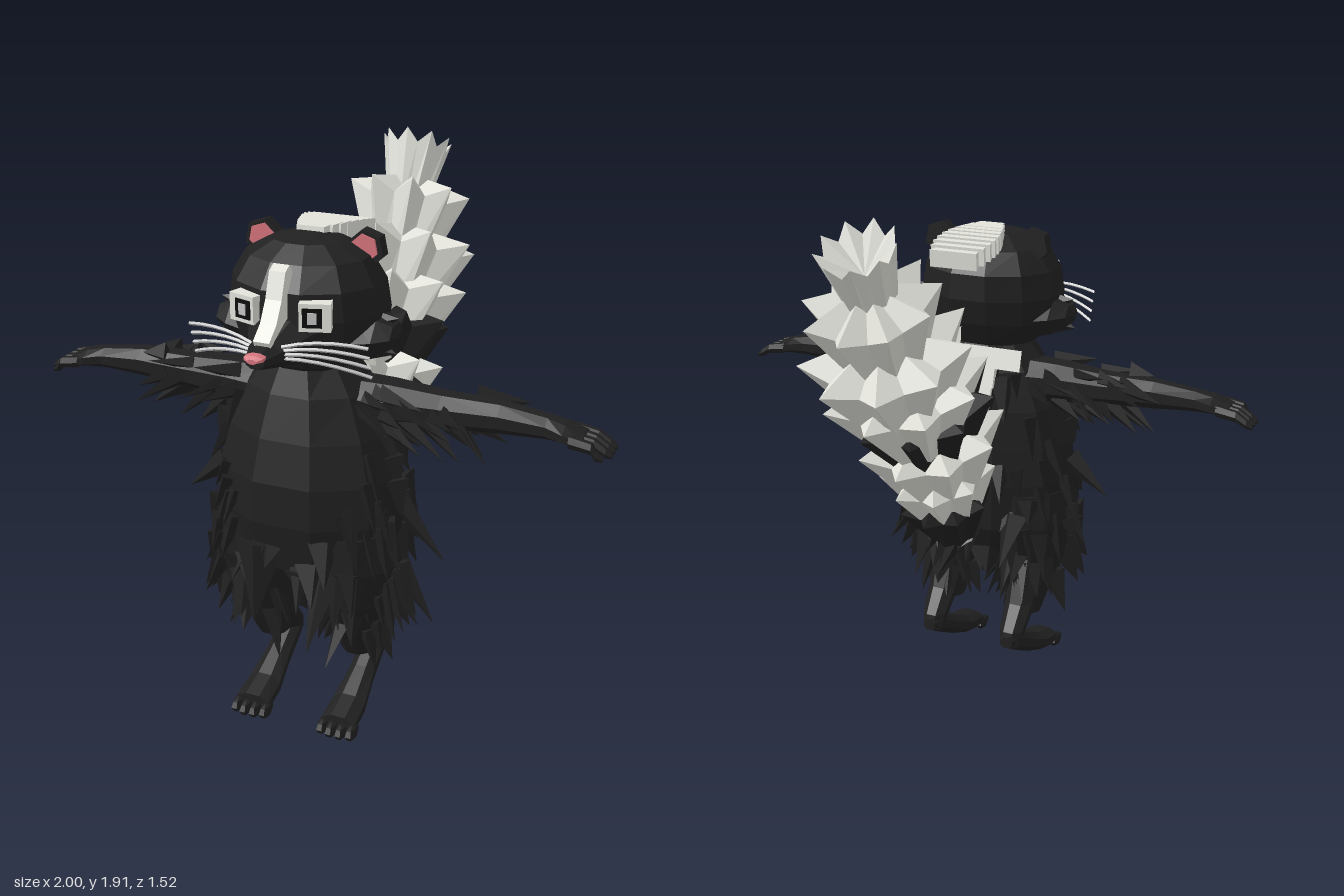
import * as THREE from 'three';
import { mergeGeometries } from 'three/addons/utils/BufferGeometryUtils.js';

const V = (x, y, z) => new THREE.Vector3(x, y, z);
const X = V(1, 0, 0), Y = V(0, 1, 0), Z = V(0, 0, 1);

function seeded(seed) {
  return () => {
    seed = (seed * 1664525 + 1013904223) % 4294967296;
    return seed / 4294967296;
  };
}

function meshOf(pos, idx) {
  const g = new THREE.BufferGeometry();
  g.setAttribute('position', new THREE.Float32BufferAttribute(pos, 3));
  g.setIndex(idx);
  const flat = g.toNonIndexed();
  flat.computeVertexNormals();
  return flat;
}

// closed skin over elliptical rings [x, y, z, radiusU, radiusV]; u x v points along the path
function loft(rings, n, u, v) {
  const pos = [], idx = [];
  const add = p => pos.push(p.x, p.y, p.z);
  for (const [x, y, z, a, b] of rings)
    for (let i = 0; i < n; i++) {
      const t = (i + 0.5) / n * Math.PI * 2;
      add(V(x, y, z).addScaledVector(u, a * Math.cos(t)).addScaledVector(v, b * Math.sin(t)));
    }
  const last = (rings.length - 1) * n, c0 = rings.length * n;
  add(V(...rings[0].slice(0, 3)));
  add(V(...rings[rings.length - 1].slice(0, 3)));
  for (let i = 0; i < n; i++) {
    const j = (i + 1) % n;
    for (let r = 0; r < last; r += n) idx.push(r + i, r + j, r + n + j, r + i, r + n + j, r + n + i);
    idx.push(c0, j, i, c0 + 1, last + i, last + j);
  }
  return meshOf(pos, idx);
}

function spike(p, dir, len, w) {
  const d = dir.clone().normalize();
  return new THREE.ConeGeometry(w, len, 4, 1).scale(1, 1, 0.6)
    .applyQuaternion(new THREE.Quaternion().setFromUnitVectors(Y, d))
    .translate(...p.clone().addScaledVector(d, len * 0.35).toArray());
}

// tufts scattered over a loft, swept along the flow direction
function fur(rings, u, v, flow, count, len, w, seed, keep = () => true) {
  const rnd = seeded(seed), out = [];
  while (out.length < count) {
    const s = rnd() * (rings.length - 1), k = Math.floor(s), f = s - k;
    const [x, y, z, a, b] = rings[k].map((q, i) => q + (rings[k + 1][i] - q) * f);
    const t = rnd() * Math.PI * 2, size = 0.6 + rnd() * 0.9;
    const p = V(x, y, z).addScaledVector(u, a * 0.96 * Math.cos(t)).addScaledVector(v, b * 0.96 * Math.sin(t));
    if (!keep(p)) continue;
    const d = V(0, 0, 0).addScaledVector(u, Math.cos(t)).addScaledVector(v, Math.sin(t));
    d.multiplyScalar(0.2 + rnd() * 0.35).add(flow);
    out.push(spike(p, d, len * size, w * (0.7 + rnd() * 0.6)));
  }
  return mergeGeometries(out);
}

// tail layer: narrow below, star-shaped rim of points above, closed by a cone reaching up to crest
function crown(base, rim, height, points, valley, crest) {
  const pos = [], idx = [], n = points * 2, c = n * 2;
  for (let i = 0; i < n; i++) {
    const t = i / n * Math.PI * 2, r = base * (i % 2 ? 0.85 : 1);
    pos.push(r * Math.sin(t), -height, r * Math.cos(t));
  }
  for (let i = 0; i < n; i++) {
    const t = i / n * Math.PI * 2, r = rim * (i % 2 ? valley : 1);
    pos.push(r * Math.sin(t), i % 2 ? -height * 0.15 : 0, r * Math.cos(t));
  }
  pos.push(0, crest, 0, 0, -height, 0);
  for (let i = 0; i < n; i++) {
    const j = (i + 1) % n;
    idx.push(i, j, n + j, i, n + j, n + i, c, n + i, n + j, c + 1, j, i);
  }
  return meshOf(pos, idx);
}

export function createModel() {
  const mat = (name, color) =>
    new THREE.MeshStandardMaterial({ name, color, flatShading: true, side: THREE.DoubleSide });
  const black = mat('black fur', 0x202020), pale = mat('pale fur', 0xe2e2db);
  const pink = mat('pink skin', 0xd4737c), grey = mat('whisker grey', 0xc4c4c4);
  const dark = mat('pupil black', 0x0c0c0c);
  const model = new THREE.Group();
  const add = (name, geo, m, parent = model) => {
    const mesh = new THREE.Mesh(geo, m);
    mesh.name = name;
    parent.add(mesh);
    return mesh;
  };
  const box = (w, h, d, x, y, z) => new THREE.BoxGeometry(w, h, d).translate(x, y, z);
  // four-sided plate, wider at its front (low z) end
  const plate = (w, h, d, x, y, z, rx) => new THREE.CylinderGeometry(0.6, 0.7071, 1, 4).rotateY(Math.PI / 4)
    .rotateX(Math.PI / 2).scale(w, h, d).rotateX(rx).translate(x, y, z);

  // torso
  const torso = [[0, 0.5, 0.35, 0.14, 0.2], [0, 0.64, 0.35, 0.22, 0.31], [0, 0.82, 0.36, 0.25, 0.335],
    [0, 0.96, 0.36, 0.24, 0.325], [0, 1.1, 0.35, 0.215, 0.285], [0, 1.24, 0.34, 0.18, 0.22], [0, 1.36, 0.34, 0.13, 0.13]];
  add('torso', loft(torso, 10, Z, X), black);
  add('torsoFur', fur(torso.slice(0, 6), Z, X, V(0, -0.8, 0), 110, 0.13, 0.05, 7,
    p => !(p.y > 0.84 && p.z > 0.45 && Math.abs(p.x) < 0.19)), black);
  add('longTufts', mergeGeometries([
    spike(V(0.32, 0.84, 0.34), V(0.2, -0.23, 0), 0.28, 0.05), spike(V(0.33, 0.6, 0.35), V(0.13, -0.2, 0), 0.25, 0.05),
    spike(V(-0.34, 0.88, 0.35), V(-0.14, -0.12, 0), 0.2, 0.05), spike(V(0.13, 0.62, 0.55), V(0, -0.22, 0.17), 0.28, 0.06),
    spike(V(-0.1, 0.68, 0.56), V(0, -0.25, 0.06), 0.28, 0.09)]), black);

  // head
  const head = [[0, 1.3, 0.35, 0.1, 0.1], [0, 1.34, 0.35, 0.16, 0.18], [0, 1.42, 0.345, 0.205, 0.25],
    [0, 1.51, 0.345, 0.23, 0.265], [0, 1.6, 0.345, 0.225, 0.25], [0, 1.675, 0.345, 0.175, 0.205],
    [0, 1.72, 0.35, 0.1, 0.12], [0, 1.735, 0.35, 0.03, 0.04]];
  add('head', loft(head, 12, Z, X), black);
  add('snout', loft([[0, 1.45, 0.48, 0.15, 0.1], [0, 1.45, 0.58, 0.11, 0.075], [0, 1.437, 0.67, 0.06, 0.042],
    [0, 1.437, 0.74, 0.033, 0.022]], 8, X, Y), black);
  add('nose', loft([[0, 1.452, 0.725, 0.034, 0.012], [0, 1.45, 0.748, 0.034, 0.012], [0, 1.446, 0.76, 0.016, 0.008]], 8, X, Y), pink);

  // pale stripe down the brow and muzzle
  const brow = new THREE.Shape([[0.52, 1.65], [0.545, 1.685], [0.575, 1.67], [0.605, 1.59], [0.645, 1.525], [0.695, 1.485],
    [0.685, 1.465], [0.6, 1.49], [0.53, 1.55]].map(p => new THREE.Vector2(...p)));
  add('browStripe', new THREE.ExtrudeGeometry(brow, { depth: 0.054, bevelEnabled: false })
    .rotateY(-Math.PI / 2).translate(0.027, 0, 0), pale);

  // overlapping plates of the crest and the back mane
  const crest = [], mane = [];
  for (let i = 0; i < 9; i++) {
    const t = i / 8;
    crest.push(plate(0.09 + 0.13 * Math.sin(Math.PI * (0.05 + 0.72 * t)), 0.06, 0.055, 0, 1.722 - 0.045 * t * t, 0.31 - 0.27 * t, -0.1));
  }
  add('crest', mergeGeometries(crest), pale);
  for (let i = 0; i < 6; i++)
    mane.push(plate(i ? 0.22 - i * 0.01 : 0.4, 0.075, 0.065, 0, 1.3 - i * 0.068, 0.175 - i * 0.018, 0.25));
  add('backMane', mergeGeometries(mane), pale);

  // tail, one crown of fur above another: [z, y of rim, rim radius, height]
  const tail = new THREE.Group();
  tail.name = 'tail';
  model.add(tail);
  const layers = [[0.035, 0.72, 0.1, 0.11, 0], [-0.06, 0.85, 0.175, 0.2, 1], [-0.11, 0.98, 0.21, 0.25, 0], [-0.18, 1.14, 0.265, 0.28, 0],
    [-0.26, 1.275, 0.265, 0.27, 1], [-0.36, 1.37, 0.285, 0.27, 0], [-0.47, 1.5, 0.285, 0.28, 0],
    [-0.555, 1.665, 0.225, 0.28, 0], [-0.635, 1.85, 0.13, 0.3, 0]];
  layers.forEach(([z, y, r, h, isBlack], i) => {
    const tip = i === layers.length - 1;
    const layer = add(isBlack ? 'blackTailLayer' : 'paleTailLayer',
      crown(r * 0.5, r, h, i ? 9 : 7, tip ? 0.86 : 0.72, tip ? -0.12 : 0.06), isBlack ? black : pale, tail);
    layer.position.set(0, y, z);
    layer.rotation.set(-0.46, 0, 0);
    layer.rotateY(i * 0.35);
  });

  // everything that comes in pairs
  const side = (s) => {
    const g = new THREE.Group();
    g.name = s > 0 ? 'leftSide' : 'rightSide';
    g.scale.x = s;
    model.add(g);
    const seed = s > 0 ? 21 : 77;

    // ear
    const disc = (r, d, x, y, z) => new THREE.CylinderGeometry(r, r, d, 6).rotateX(Math.PI / 2).rotateZ(0.2).translate(x, y, z);
    add('ear', disc(0.062, 0.045, 0.178, 1.69, 0.295), black, g);
    add('innerEar', disc(0.046, 0.008, 0.176, 1.694, 0.321), pink, g);

    // eye
    const eye = new THREE.Group();
    eye.name = 'eye';
    eye.position.set(0.113, 1.54, 0.548);
    eye.rotation.y = 0.3;
    g.add(eye);
    add('eyeWhite', box(0.098, 0.088, 0.065, 0, 0, 0), pale, eye);
    add('pupil', box(0.06, 0.06, 0.008, -0.008, 0, 0.033), dark, eye);
    add('iris', box(0.028, 0.036, 0.006, -0.008, 0, 0.037), grey, eye);

    // cheek ruff
    add('cheek', loft([[0.17, 1.43, 0.35, 0.085, 0.13], [0.25, 1.435, 0.355, 0.07, 0.1], [0.3, 1.44, 0.36, 0.04, 0.06],
      [0.315, 1.44, 0.36, 0.012, 0.02]], 6, Y, Z), black, g);
    add('cheekFur', mergeGeometries([[1.47, 0.05, 0.36], [1.4, -0.03, 0.38]]
      .map(([y, dy, z]) => spike(V(0.21, y, z), V(0.2, dy, 0), 0.12, 0.06))), black, g);

    // whiskers
    const whiskers = [0, 1, 2, 3].map(i => new THREE.TubeGeometry(new THREE.QuadraticBezierCurve3(
      V(0.05, 1.43 + i * 0.012, 0.66), V(0.16, 1.432 + i * 0.022, 0.63), V(0.3, 1.37 + i * 0.034, 0.56 + i * 0.01)), 5, 0.006, 4));
    add('whiskers', mergeGeometries(whiskers), grey, g);

    // arm, hand and fingers
    const arm = [[0.12, 1.19, 0.33, 0.09, 0.11], [0.28, 1.2, 0.325, 0.075, 0.095], [0.45, 1.2, 0.32, 0.06, 0.075],
      [0.64, 1.205, 0.32, 0.052, 0.062], [0.79, 1.2, 0.325, 0.038, 0.052], [0.85, 1.195, 0.33, 0.032, 0.072], [0.91, 1.18, 0.333, 0.024, 0.072]];
    add('arm', loft(arm, 8, Y, Z), black, g);
    add('armFur', fur(arm.slice(0, 4), Y, Z, V(0.7, -0.25, -0.05), 30, 0.13, 0.04, seed,
      p => p.x > 0.2 && p.x < 0.58 && p.y < 1.25), black, g);
    add('fingers', mergeGeometries([0.278, 0.314, 0.35, 0.386].map((z, i) => {
      const tip = i === 3 ? 0.975 : 0.998;
      return loft([[0.87, 1.188, z, 0.022, 0.019], [0.94, 1.177, z, 0.02, 0.018], [tip - 0.02, 1.155, z, 0.017, 0.016],
        [tip, 1.145, z, 0.008, 0.009]], 6, Y, Z);
    })), black, g);

    // thigh, shin and foot
    const thigh = [[0.165, 0.25, 0.33, 0.06, 0.06], [0.17, 0.36, 0.36, 0.09, 0.085], [0.18, 0.5, 0.365, 0.15, 0.13],
      [0.185, 0.65, 0.36, 0.2, 0.155], [0.18, 0.78, 0.36, 0.2, 0.14]];
    add('thigh', loft(thigh, 9, Z, X), black, g);
    add('thighFur', fur(thigh.slice(1), Z, X, V(0, -0.8, 0), 50, 0.14, 0.05, seed + 5), black, g);
    add('shin', loft([[0.165, 0.16, 0.18, 0.04, 0.04], [0.165, 0.22, 0.205, 0.055, 0.05], [0.165, 0.31, 0.28, 0.065, 0.06],
      [0.165, 0.42, 0.34, 0.08, 0.075]], 8, Z, X), black, g);
    add('foot', loft([[0.165, 0.185, 0.14, 0.025, 0.025], [0.165, 0.175, 0.19, 0.045, 0.045], [0.165, 0.11, 0.31, 0.05, 0.045],
      [0.165, 0.06, 0.42, 0.065, 0.042], [0.165, 0.042, 0.52, 0.068, 0.034]], 8, X, Y), black, g);
    add('toes', mergeGeometries([-1.5, -0.5, 0.5, 1.5].map(i => new THREE.SphereGeometry(1, 6, 4)
      .scale(0.021, 0.027, 0.045).translate(0.165 + i * 0.036, 0.027, 0.535 - Math.abs(i) * 0.008))), black, g);
  };
  side(1);
  side(-1);
  return model;
}
